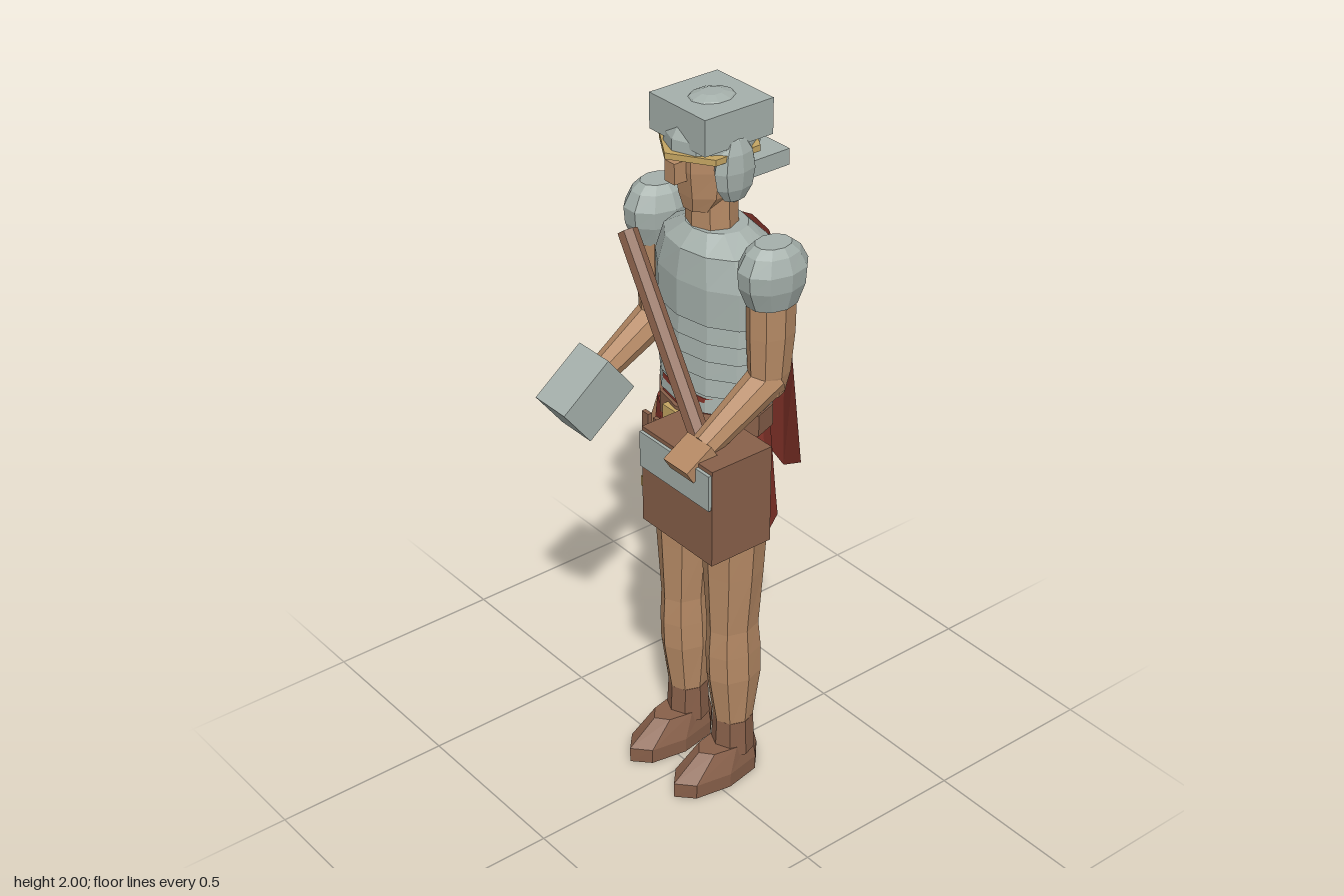
import * as THREE from 'three';

const mat = (name, color, side = THREE.FrontSide) => {
  const m = new THREE.MeshStandardMaterial({ color, side });
  m.name = name;
  return m;
};

// Gives every triangle its own flat normal.
function faceted(geo) {
  const g = geo.index ? geo.toNonIndexed() : geo;
  g.computeVertexNormals();
  return g;
}

// Closed skin over elliptical rings listed upwards: [y, cx, cz, rx, rz].
function loft(rings, n = 8, phase = 0) {
  const pos = [], idx = [];
  for (const [y, cx, cz, rx, rz] of rings)
    for (let j = 0; j < n; j++) {
      const t = phase + (j / n) * Math.PI * 2;
      pos.push(cx + Math.sin(t) * rx, y, cz + Math.cos(t) * rz);
    }
  const last = rings.length - 1, base = pos.length / 3;
  for (const k of [0, last]) pos.push(rings[k][1], rings[k][0], rings[k][2]);
  for (let j = 0; j < n; j++) {
    const q = (j + 1) % n;
    for (let i = 0; i < last; i++) {
      const a = i * n + j, b = i * n + q;
      idx.push(a, b, b + n, a, b + n, a + n);
    }
    idx.push(base, q, j, base + 1, last * n + j, last * n + q);
  }
  const g = new THREE.BufferGeometry();
  g.setAttribute('position', new THREE.Float32BufferAttribute(pos, 3));
  g.setIndex(idx);
  return g;
}

// Tapered rod from point a to point b.
function rod(a, b, ra, rb, n = 8) {
  const A = new THREE.Vector3(...a), B = new THREE.Vector3(...b);
  const dir = B.clone().sub(A);
  const g = new THREE.CylinderGeometry(rb, ra, dir.length(), n);
  g.applyQuaternion(new THREE.Quaternion().setFromUnitVectors(new THREE.Vector3(0, 1, 0), dir.normalize()));
  return g.translate(...A.add(B).multiplyScalar(0.5).toArray());
}

// Box from its size and centre, tilted about x.
const box = (w, h, d, x, y, z, tilt = 0) =>
  new THREE.BoxGeometry(w, h, d).rotateX(tilt).translate(x, y, z);

const ball = (rx, ry, rz, x, y, z, a = 10, b = 6) =>
  new THREE.SphereGeometry(1, a, b).scale(rx, ry, rz).translate(x, y, z);

export function createModel() {
  const steel = mat('steel', 0xa5b0ab);
  const skin = mat('skin', 0xb68a65);
  const leather = mat('leather', 0x88604a);
  const cloth = mat('red cloth', 0x88352b, THREE.DoubleSide);
  const brass = mat('brass', 0xc4a562);

  const model = new THREE.Group();
  model.name = 'soldier';
  const add = (name, geo, material) => {
    const m = new THREE.Mesh(faceted(geo), material);
    m.name = name;
    model.add(m);
  };
  const cx = -0.01, cz = -0.087;

  // Legs and boots
  for (const [side, x, s] of [['left', 0.085, 1], ['right', -0.11, -1]]) {
    add(side + 'Leg', loft([
      [0.17, x, -0.085, 0.05, 0.054],
      [0.34, x, -0.085, 0.065, 0.082],
      [0.42, x, -0.083, 0.064, 0.083],
      [0.5, x, -0.08, 0.061, 0.076],
      [0.68, x, -0.08, 0.077, 0.084],
      [0.84, x, -0.08, 0.087, 0.092],
      [1.02, x + s * 0.005, -0.075, 0.097, 0.09],
      [1.12, x, -0.075, 0.07, 0.07],
    ]), skin);
    add(side + 'BootShaft', loft([
      [0.08, x, -0.085, 0.058, 0.062],
      [0.19, x, -0.085, 0.053, 0.057],
    ]), leather);
    add(side + 'Foot', loft([
      [0, x, -0.025, 0.064, 0.147],
      [0.045, x, -0.025, 0.066, 0.147],
      [0.11, x, -0.06, 0.048, 0.095],
    ], 8), leather);
  }

  // Tunic skirt, tunic waist and belt
  add('skirt', loft([
    [0.835, cx, cz, 0.198, 0.147],
    [0.9, cx, cz, 0.19, 0.142],
    [1.13, cx, cz, 0.168, 0.125],
  ], 14), cloth);
  add('tunicWaist', loft([
    [1.12, 0, cz, 0.163, 0.122],
    [1.23, 0, cz, 0.166, 0.122],
  ], 12), cloth);
  add('belt', loft([
    [1.12, 0, cz, 0.17, 0.132],
    [1.18, 0, cz, 0.17, 0.132],
  ], 12), leather);
  add('buckle', box(0.06, 0.042, 0.02, cx, 1.15, 0.045), brass);

  // Hanging apron straps with brass tips
  for (let i = 0; i < 4; i++) {
    const x = -0.1 + i * 0.045;
    add('apronStrap', box(0.026, 0.2, 0.012, x, 1.02, 0.058), leather);
    add('apronTip', box(0.03, 0.03, 0.016, x, 0.908, 0.06), brass);
  }

  // Banded cuirass: overlapping hoops below a chest and collar
  const bands = [];
  for (let i = 0; i < 5; i++) {
    const y = 1.19 + i * 0.05, r = 0.168 + i * 0.003;
    bands.push([y, 0, cz, r + 0.007, 0.124], [y + 0.05, 0, cz, r, 0.119]);
  }
  add('cuirass', loft([
    ...bands,
    [1.44, 0, cz, 0.19, 0.126],
    [1.54, 0, cz, 0.19, 0.127],
    [1.62, 0, cz, 0.158, 0.115],
    [1.662, 0, cz, 0.085, 0.075],
  ], 12), steel);

  // Shoulder guards and arms
  for (const [side, x] of [['left', 0.211], ['right', -0.232]]) {
    add(side + 'ShoulderGuard', loft([
      [1.525, x, cz, 0.056, 0.07],
      [1.58, x, cz, 0.072, 0.093],
      [1.625, x, cz, 0.074, 0.097],
      [1.665, x, cz, 0.058, 0.075],
      [1.685, x, cz, 0.04, 0.05],
    ], 10, Math.PI / 10), steel);
    const ax = x * 0.98;
    add(side + 'UpperArm', loft([
      [1.27, ax, -0.085, 0.038, 0.04],
      [1.33, ax, -0.085, 0.048, 0.058],
      [1.44, ax, -0.088, 0.054, 0.066],
      [1.56, ax, -0.088, 0.055, 0.068],
    ]), skin);
    add(side + 'Forearm', rod([ax, 1.315, -0.09], [ax, 1.19, 0.12], 0.051, 0.036), skin);
  }
  add('leftHand', box(0.091, 0.04, 0.09, 0.207, 1.175, 0.162, 0.55), skin);
  add('rightHand', box(0.08, 0.04, 0.08, -0.228, 1.17, 0.14, 0.65), skin);

  // Tilted block held in the right hand
  add('heldBlock', box(0.122, 0.132, 0.18, -0.228, 1.157, 0.158, 0.656), steel);

  // Satchel with its flap and shoulder strap
  add('satchel', box(0.275, 0.275, 0.188, 0.168, 1.048, 0.081), leather);
  add('satchelFlap', box(0.27, 0.1, 0.009, 0.168, 1.125, 0.18), steel);
  add('satchelStrap', rod([-0.185, 1.6, 0.047], [0.165, 1.16, 0.09], 0.027, 0.027, 7), leather);

  // Cape: rows of five points from the shoulders to the hem
  const rows = [
    { y: [1.59, 1.63, 1.64, 1.63, 1.59], x: 0, w: 0.15, z: [-0.16, -0.19, -0.2, -0.19, -0.165] },
    { y: [1.45, 1.46, 1.48, 1.47, 1.46], x: 0, w: 0.175, z: [-0.17, -0.21, -0.211, -0.208, -0.17] },
    { y: [1.28, 1.28, 1.28, 1.28, 1.28], x: -0.005, w: 0.19, z: [-0.18, -0.25, -0.245, -0.235, -0.185] },
    { y: [1.0, 0.93, 0.96, 0.93, 1.0], x: -0.015, w: 0.203, z: [-0.247, -0.272, -0.257, -0.247, -0.216] },
  ];
  const capeGeo = new THREE.PlaneGeometry(1, 1, 4, 3);
  const p = capeGeo.attributes.position;
  rows.forEach((r, i) => {
    for (let j = 0; j < 5; j++) p.setXYZ(i * 5 + j, r.x + (j / 2 - 1) * r.w, r.y[j], r.z[j]);
  });
  add('cape', capeGeo, cloth);

  // Neck, head and nose
  add('neck', loft([
    [1.62, cx, -0.08, 0.07, 0.064],
    [1.76, cx, -0.078, 0.066, 0.062],
  ]), skin);
  add('head', loft([
    [1.71, cx, -0.05, 0.045, 0.05],
    [1.75, cx, -0.07, 0.07, 0.08],
    [1.82, cx, -0.075, 0.08, 0.095],
    [1.9, cx, -0.075, 0.08, 0.095],
  ], 8, Math.PI / 8), skin);
  add('nose', box(0.038, 0.055, 0.045, -0.015, 1.823, 0.026), skin);

  // Helmet: dome, square crown, brow band, cheek guards and neck guard
  add('helmetDome', loft([
    [1.865, cx, -0.077, 0.108, 0.123],
    [1.91, cx, -0.077, 0.104, 0.122],
    [1.96, cx, -0.077, 0.08, 0.09],
    [1.992, cx, -0.077, 0.048, 0.058],
    [2, cx, -0.077, 0.025, 0.03],
  ], 10), steel);
  add('helmetCrown', box(0.21, 0.094, 0.21, -0.012, 1.942, -0.077), steel);
  add('browBand', loft([
    [1.865, cx, -0.07, 0.125, 0.137],
    [1.881, cx, -0.07, 0.125, 0.137],
  ], 6), brass);
  for (const s of [-1, 1])
    add(s > 0 ? 'leftCheekGuard' : 'rightCheekGuard', ball(0.034, 0.09, 0.062, cx + s * 0.09, 1.832, -0.075, 8, 6), steel);
  add('neckGuard', box(0.217, 0.043, 0.115, -0.012, 1.822, -0.175), steel);

  return model;
}
